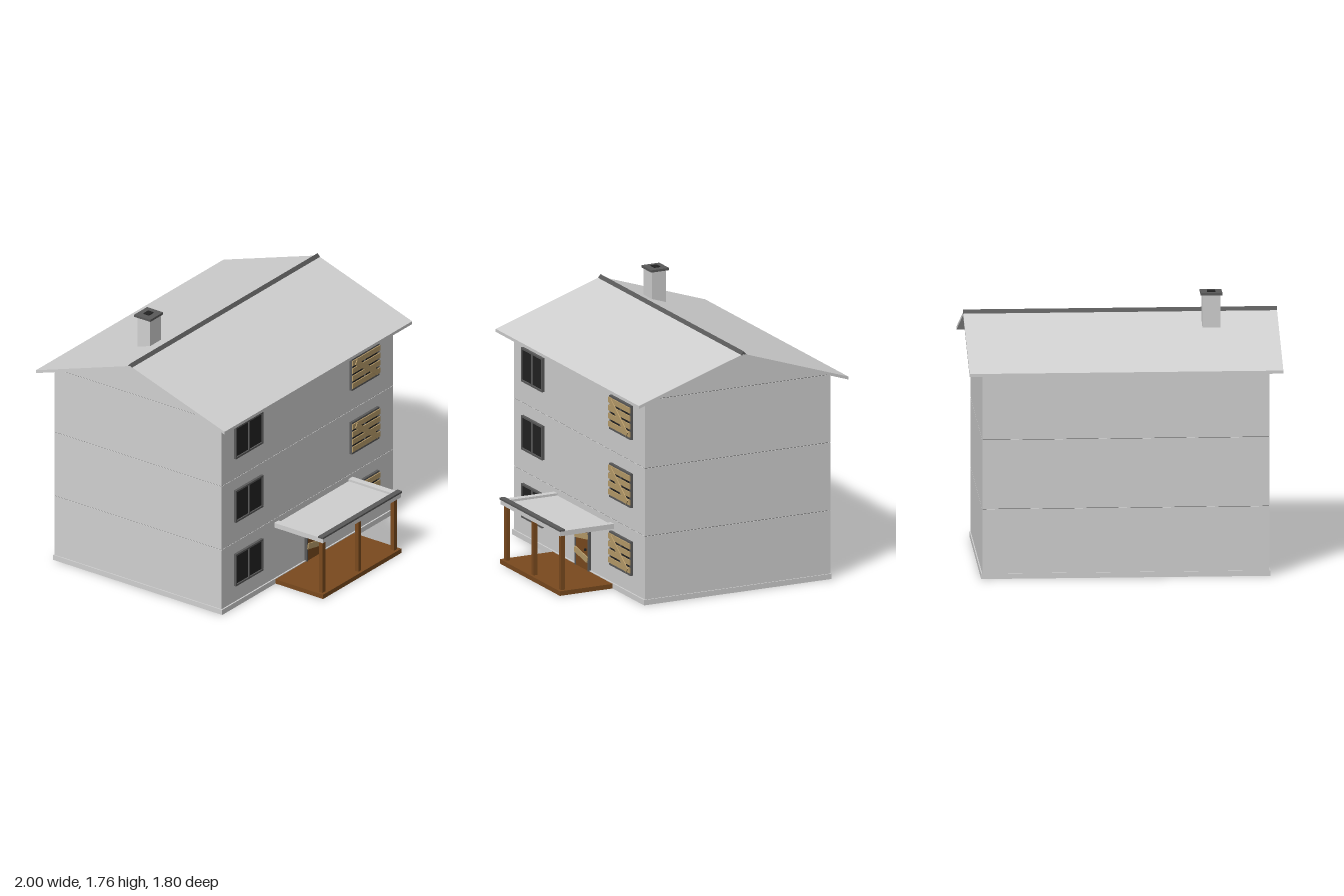
import * as THREE from 'three';

const mat = (name, color, extra = {}) => {
  const m = new THREE.MeshStandardMaterial({ color, ...extra });
  m.name = name;
  return m;
};

export function createModel() {
  const house = new THREE.Group();
  house.name = 'house';
  const wall = mat('pale plaster', 0xd0d0d0);
  const trim = mat('dark grey trim', 0x5a5a5a);
  const glass = mat('black glass', 0x222222);
  const wood = mat('brown wood', 0x7a4a1e);
  const plank = mat('tan plank', 0xb89c6a);

  // box given by its min and max corners
  const box = (parent, name, m, [x0, x1], [y0, y1], [z0, z1]) => {
    const mesh = new THREE.Mesh(new THREE.BoxGeometry(x1 - x0, y1 - y0, z1 - z0), m);
    mesh.position.set((x0 + x1) / 2, (y0 + y1) / 2, (z0 + z1) / 2);
    mesh.name = name;
    parent.add(mesh);
    return mesh;
  };
  // [z, y] profile extruded along x, centred on x = 0
  const prism = (name, m, pts, width) => {
    const shape = new THREE.Shape(pts.map(p => new THREE.Vector2(...p)));
    const geo = new THREE.ExtrudeGeometry(shape, { depth: width, bevelEnabled: false });
    geo.rotateY(-Math.PI / 2).translate(width / 2, 0, 0);
    const mesh = new THREE.Mesh(geo, m);
    mesh.name = name;
    house.add(mesh);
  };
  // board nailed between two points on the facade
  const board = (parent, [xa, ya], [xb, yb], h, z) => {
    const len = Math.hypot(xb - xa, yb - ya);
    const b = box(parent, 'board', plank, [-len / 2, len / 2], [-h / 2, h / 2], [z, z + 0.007]);
    b.position.x = (xa + xb) / 2;
    b.position.y = (ya + yb) / 2;
    b.rotation.z = Math.atan2(yb - ya, xb - xa);
  };

  // walls: three storeys with dark joints
  box(house, 'foundation', wall, [-0.922, 0.922], [0, 0.035], [-0.82, 0.52]);
  for (let i = 0; i < 3; i++) {
    box(house, 'storey', wall, [-0.915, 0.915], [i * 0.45 + 0.005, i * 0.45 + 0.452], [-0.815, 0.51]);
    box(house, 'storeyJoint', trim, [-0.912, 0.912], [i * 0.45 + 0.44, i * 0.45 + 0.456], [-0.812, 0.507]);
  }

  // gable, roof and ridge
  const ridgeZ = -0.152;
  prism('gable', wall, [[0.51, 1.355], [ridgeZ, 1.58], [-0.815, 1.355]], 1.83);
  prism('roof', wall, [[0.597, 1.33], [0.597, 1.35], [ridgeZ, 1.598], [-0.9, 1.35], [-0.9, 1.33], [ridgeZ, 1.578]], 2);
  prism('ridgeCap', trim, [[-0.133, 1.59], [ridgeZ, 1.615], [-0.175, 1.588]], 2);

  // chimney
  box(house, 'chimney', wall, [-0.627, -0.513], [1.5, 1.74], [-0.372, -0.27]);
  box(house, 'chimneyCap', trim, [-0.64, -0.502], [1.737, 1.752], [-0.388, -0.26]);
  box(house, 'flue', glass, [-0.597, -0.545], [1.75, 1.757], [-0.347, -0.304]);

  // windows: glazed on the left column, boarded on the other
  const windowAt = (cx, y0, boarded) => {
    const g = new THREE.Group();
    g.name = boarded ? 'boardedWindow' : 'window';
    g.position.set(cx, y0, 0);
    box(g, 'glass', glass, [-0.14, 0.14], [0.008, 0.217], [0.505, 0.519]);
    box(g, 'sill', trim, [-0.147, 0.147], [0, 0.012], [0.505, 0.528]);
    box(g, 'head', trim, [-0.147, 0.147], [0.213, 0.225], [0.505, 0.528]);
    for (const x of [-0.142, 0, 0.142])
      box(g, 'upright', trim, [x - 0.005, x + 0.005], [0.01, 0.215], [0.505, 0.527]);
    if (boarded) {
      for (let i = 0; i < 4; i++)
        board(g, [-0.148, 0.036 + i * 0.053], [0.148, 0.036 + i * 0.053], 0.036, 0.528);
      board(g, [-0.115, 0.195], [0.12, 0.03], 0.036, 0.534);
    }
    house.add(g);
  };
  for (let i = 0; i < 3; i++) {
    windowAt(-0.638, 0.15 + i * 0.45, false);
    windowAt(0.598, 0.15 + i * 0.45, true);
  }

  // door with frame, knob and nailed boards
  const door = new THREE.Group();
  door.name = 'door';
  box(door, 'doorLeaf', wood, [-0.02, 0.15], [0.03, 0.355], [0.505, 0.523]);
  box(door, 'doorHead', trim, [-0.03, 0.16], [0.352, 0.366], [0.505, 0.529]);
  for (const x of [-0.03, 0.15])
    box(door, 'doorJamb', trim, [x, x + 0.01], [0.03, 0.355], [0.505, 0.529]);
  box(door, 'knob', glass, [0.111, 0.125], [0.157, 0.172], [0.52, 0.536]);
  board(door, [-0.024, 0.235], [0.154, 0.262], 0.04, 0.529);
  board(door, [-0.024, 0.138], [0.154, 0.105], 0.04, 0.529);
  house.add(door);

  // porch: deck, posts, rimmed flat roof
  const porch = new THREE.Group();
  porch.name = 'porch';
  box(porch, 'deck', wood, [-0.353, 0.482], [0, 0.03], [0.515, 0.897]);
  for (const x of [-0.318, 0.064, 0.446])
    box(porch, 'post', wood, [x - 0.015, x + 0.015], [0.03, 0.4], [0.85, 0.878]);
  box(porch, 'porchRoof', wall, [-0.32, 0.45], [0.395, 0.412], [0.51, 0.87]);
  for (const x of [-0.353, 0.438])
    box(porch, 'sideRim', wall, [x, x + 0.044], [0.394, 0.427], [0.51, 0.895]);
  box(porch, 'frontRim', wall, [-0.31, 0.44], [0.394, 0.427], [0.85, 0.895]);
  box(porch, 'frontCapping', trim, [-0.358, 0.487], [0.425, 0.437], [0.862, 0.9]);
  house.add(porch);

  return house;
}
